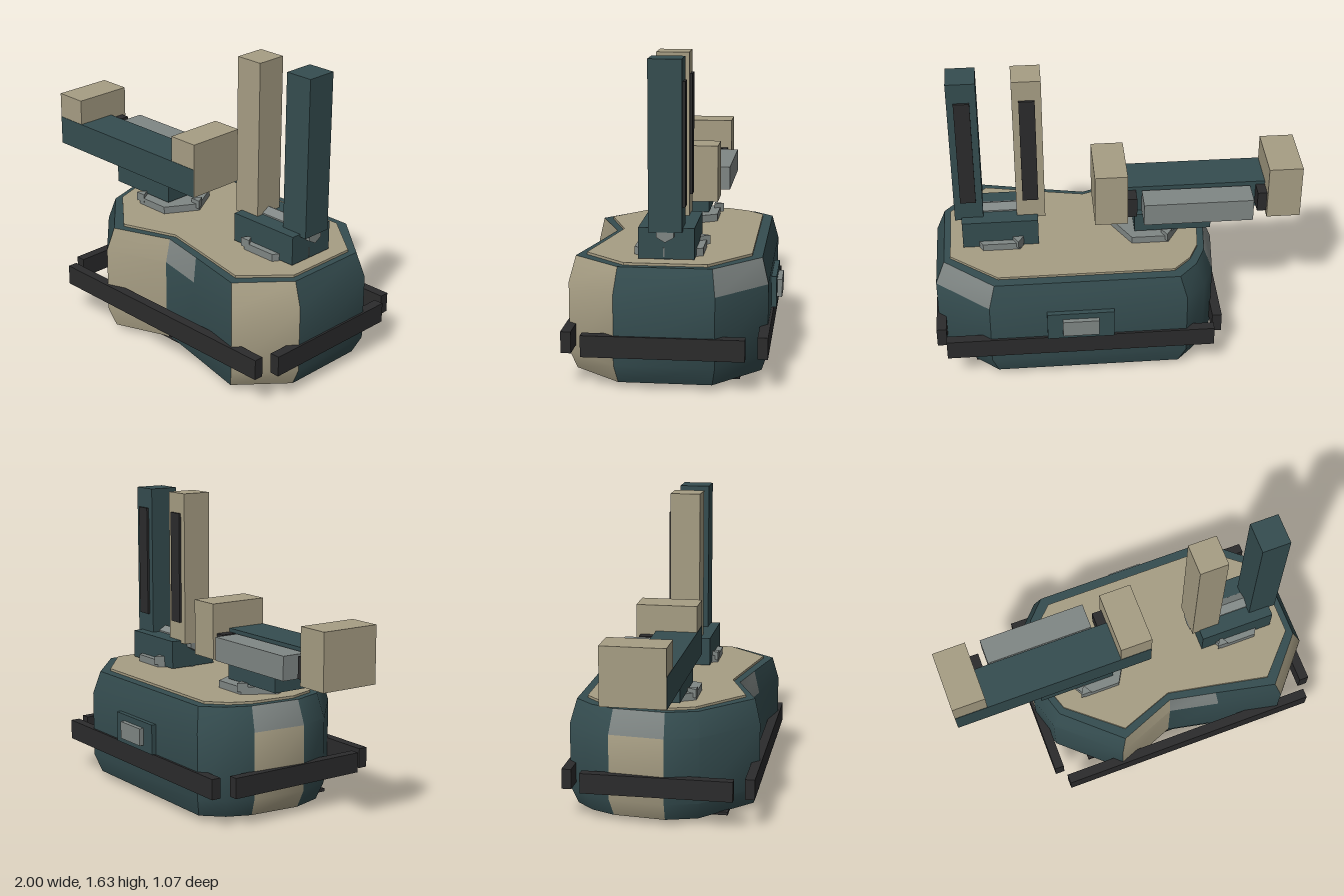
import * as THREE from 'three';
import { toCreasedNormals } from 'three/addons/utils/BufferGeometryUtils.js';

const material = (name, color) => {
  const m = new THREE.MeshStandardMaterial({ color });
  m.name = name;
  return m;
};

export function createModel() {
  const root = new THREE.Group();
  const teal = material('teal', 0x354d50);
  const sand = material('sand', 0xa79e84);
  const grey = material('grey', 0x808785);
  const black = material('black', 0x2b2b2c);

  const add = (name, geo, mat, parent = root) => {
    const mesh = new THREE.Mesh(geo, mat);
    mesh.name = name;
    parent.add(mesh);
    return mesh;
  };
  // box given by its extents on each axis
  const box = (name, mat, [x0, x1], [y0, y1], [z0, z1], parent = root) => {
    const mesh = add(name, new THREE.BoxGeometry(x1 - x0, y1 - y0, z1 - z0), mat, parent);
    mesh.position.set((x0 + x1) / 2, (y0 + y1) / 2, (z0 + z1) / 2);
    return mesh;
  };
  const group = (name) => {
    const g = new THREE.Group();
    g.name = name;
    root.add(g);
    return g;
  };

  // body footprint (x, z), from the front left round by the right side
  const loop = [
    [-0.5, 0.24], [-0.19, 0.52], [0.14, 0.39], [0.41, 0.445], [0.76, 0.52], [0.985, 0.26],
    [0.985, -0.24], [0.7, -0.485], [-0.36, -0.485], [-0.465, -0.375], [-0.525, -0.24], [-0.555, 0.06],
  ];
  const cx = 0.215, cz = 0.018;
  const scaled = (sx, sz) => loop.map(([x, z]) => [cx + (x - cx) * sx, cz + (z - cz) * sz]);

  // body shell: stacked rings, coloured by segment
  const levels = [[0.03, 0.935], [0.13, 1], [0.49, 1], [0.62, 0.935]];
  const rings = levels.map(([y, s]) => scaled(s, s).map(([x, z]) => [x, y, z]));
  const sandSegments = [1, 4, 10];
  const greyTops = [2, 6, 10];
  const faces = [[], [], []];
  for (let k = 0; k < 3; k++) {
    for (let i = 0; i < loop.length; i++) {
      const j = (i + 1) % loop.length;
      const [a, b, c, d] = [rings[k][i], rings[k][j], rings[k + 1][j], rings[k + 1][i]];
      const m = k === 2 && greyTops.includes(i) ? 2 : sandSegments.includes(i) ? 1 : 0;
      faces[m].push(...a, ...b, ...c, ...a, ...c, ...d);
    }
  }
  const shell = new THREE.BufferGeometry();
  shell.setAttribute('position', new THREE.Float32BufferAttribute(faces.flat(), 3));
  let start = 0;
  faces.forEach((f, m) => {
    shell.addGroup(start, f.length / 3, m);
    start += f.length / 3;
  });
  add('bodyShell', toCreasedNormals(shell, 0.6), [teal, sand, grey]);

  // slabs that follow the footprint: core closes the shell, deck sits on top
  const slab = (name, mat, sx, sz, y0, y1) => {
    const shape = new THREE.Shape(scaled(sx, sz).map(([x, z]) => new THREE.Vector2(x, -z)));
    const geo = new THREE.ExtrudeGeometry(shape, { depth: y1 - y0, bevelEnabled: false });
    add(name, geo.rotateX(-Math.PI / 2).translate(0, y0, 0), mat);
  };
  slab('bodyCore', teal, 0.935, 0.935, 0.03, 0.62);
  slab('deckPlate', sand, 0.89, 0.83, 0.61, 0.633);

  // bumper bars on four sides
  const bumpers = group('bumpers');
  for (const z of [[0.48, 0.532], [-0.498, -0.446]]) {
    box('longBumper', black, [-0.512, 0.94], [0.172, 0.282], z, bumpers);
  }
  for (const x of [[-0.567, -0.515], [0.943, 0.996]]) {
    box('sideBumper', black, x, [0.172, 0.282], [-0.388, 0.424], bumpers);
  }

  // underside plate with hexagonal ring feet
  box('bottomPlate', black, [-0.35, 0.79], [0.018, 0.035], [-0.35, 0.37]);
  const hexPoints = (r) => Array.from({ length: 6 }, (_, i) =>
    new THREE.Vector2(r * Math.cos(i * Math.PI / 3), r * Math.sin(i * Math.PI / 3)));
  const footShape = new THREE.Shape(hexPoints(0.14));
  footShape.holes.push(new THREE.Path(hexPoints(0.085)));
  const footGeo = new THREE.ExtrudeGeometry(footShape, { depth: 0.02, bevelEnabled: false }).rotateX(-Math.PI / 2);
  for (const [x, z] of [[0.59, 0.16], [0.215, -0.23], [-0.165, 0.16]]) {
    add('foot', footGeo, grey).position.set(x, 0, z);
  }

  // rear panel
  box('rearPanel', teal, [0.035, 0.395], [0.285, 0.45], [-0.512, -0.47]);
  box('rearPanelInsert', grey, [0.118, 0.313], [0.32, 0.415], [-0.538, -0.5]);

  // hexagonal turntable with three small wedge clamps
  const turntable = (x, z) => {
    const g = group('turntable');
    g.position.set(x, 0, z);
    const disc = new THREE.CylinderGeometry(0.2, 0.2, 0.045, 6).rotateY(Math.PI / 6).toNonIndexed();
    disc.computeVertexNormals();
    add('turntableDisc', disc, grey, g).position.y = 0.65;
    const wedge = new THREE.CylinderGeometry(0.034, 0.034, 0.047, 3).rotateY(Math.PI).toNonIndexed();
    wedge.computeVertexNormals();
    for (let i = 0; i < 3; i++) {
      const a = i * 2 * Math.PI / 3;
      add('clamp', wedge, grey, g).position.set(0.183 * Math.cos(a), 0.672, 0.183 * Math.sin(a));
    }
  };
  turntable(0.62, 0.015);
  turntable(-0.19, 0.015);

  // twin upright columns on their base, with a hinge pin through both
  const tower = group('tower');
  box('towerBase', teal, [0.417, 0.828], [0.638, 0.795], [-0.125, 0.155], tower);
  for (const [x0, mat] of [[0.376, sand], [0.711, teal]]) {
    box('column', mat, [x0, x0 + 0.154], [0.78, 1.632], [-0.067, 0.1], tower);
    box('columnStrip', black, [x0 + 0.035, x0 + 0.119], [0.9, 1.52], [-0.08, -0.06], tower);
  }
  const pin = new THREE.CylinderGeometry(0.05, 0.05, 0.482, 6).rotateY(Math.PI / 6).rotateZ(Math.PI / 2).toNonIndexed();
  pin.computeVertexNormals();
  add('hingePin', pin, grey, tower).position.set(0.618, 0.778, 0.018);

  // horizontal arm with square end blocks and a rear rail
  const arm = group('arm');
  box('armMount', teal, [-0.525, -0.108], [0.68, 0.79], [-0.11, 0.14], arm);
  box('armBeam', teal, [-1, 0.108], [0.783, 0.945], [-0.07, 0.157], arm);
  for (const x of [[-1.002, -0.82], [-0.064, 0.112]]) {
    box('endBlock', sand, x, [0.784, 1.088], [-0.178, 0.155], arm);
  }
  box('armRail', grey, [-0.738, -0.148], [0.8, 0.928], [-0.222, -0.082], arm);
  box('railBacking', grey, [-0.7, -0.18], [0.83, 0.9], [-0.09, -0.06], arm);
  for (const x of [[-0.82, -0.77], [-0.117, -0.064]]) {
    box('railStop', black, x, [0.81, 0.925], [-0.155, -0.06], arm);
  }
  return root;
}
